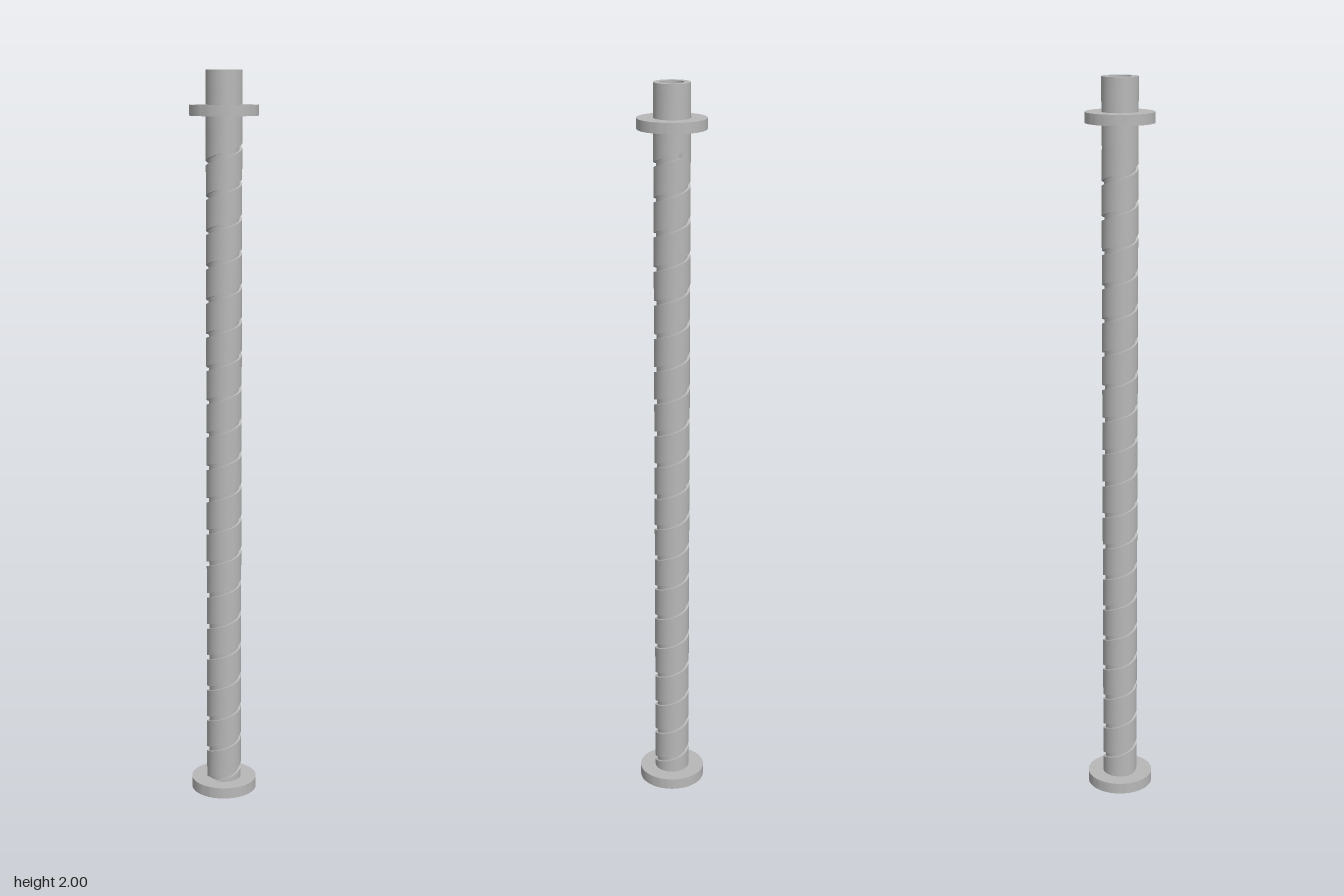
import * as THREE from 'three';
import { toCreasedNormals } from 'three/addons/utils/BufferGeometryUtils.js';

const HEIGHT = 2, OUTER = 0.048, BORE = 0.031, FLANGE = 0.091;
const PITCH = 0.0915, GROOVE_W = 0.014, GROOVE_D = 0.007;
const GROOVE_Y = 1.797;              // groove height at the front, on its last full turn
const GROOVE_END = Math.PI * 0.55;   // angle past the front where the groove stops
const SEG = 64;

// One helical strip swept between two profile points [depth, rise]
function helixStrip(p, q) {
  const pos = [], index = [];
  const first = -21 * SEG, last = 4 * SEG;
  for (let i = first; i <= last; i++) {
    const a = (i / SEG) * Math.PI * 2;
    for (const [depth, rise] of [p, q]) {
      const r = OUTER - (a > GROOVE_END ? 0 : depth);
      const y = GROOVE_Y + (PITCH * i) / SEG + rise;
      pos.push(r * Math.sin(a), THREE.MathUtils.clamp(y, 0.015, HEIGHT), r * Math.cos(a));
    }
    if (i < last) {
      const k = (i - first) * 2;
      index.push(k, k + 2, k + 3, k, k + 3, k + 1);
    }
  }
  const geo = new THREE.BufferGeometry();
  geo.setAttribute('position', new THREE.Float32BufferAttribute(pos, 3));
  geo.setIndex(index);
  geo.computeVertexNormals();
  return geo;
}

// Turned part with sharp edges
function turned(points) {
  const geo = new THREE.LatheGeometry(points.map(([r, y]) => new THREE.Vector2(r, y)), SEG);
  return toCreasedNormals(geo, 0.6);
}

export function createModel() {
  const group = new THREE.Group();
  const steel = new THREE.MeshStandardMaterial({ color: 0xb8b8b8 });
  steel.name = 'grey steel';
  const add = (name, geo, parent = group) => {
    const mesh = new THREE.Mesh(geo, steel);
    mesh.name = name;
    parent.add(mesh);
    return mesh;
  };

  // Shaft wall with its spiral groove
  const shaft = new THREE.Group();
  shaft.name = 'groovedShaft';
  group.add(shaft);
  const h = GROOVE_W / 2;
  const profile = [[0, -h], [GROOVE_D, -h], [GROOVE_D, h], [0, h], [0, PITCH - h]];
  ['grooveLowerWall', 'grooveFloor', 'grooveUpperWall', 'shaftSurface'].forEach((name, i) =>
    add(name, helixStrip(profile[i], profile[i + 1]), shaft));

  // Top rim and hollow bore
  add('rimAndBore', turned([[OUTER, HEIGHT], [BORE, HEIGHT], [BORE, 0]]));

  // End flanges
  const flange = (name, y0, y1, inner) =>
    add(name, turned([[inner, y0], [FLANGE, y0], [FLANGE, y1], [inner, y1]]));
  flange('bottomFlange', 0, 0.031, BORE);
  flange('topFlange', 1.883, 1.911, OUTER - 0.004);

  // Three small locking pins at the foot of the upper collar
  for (let i = 0; i < 3; i++) {
    const a = THREE.MathUtils.degToRad(47 + i * 120);
    const pin = add('lockingPin', new THREE.CylinderGeometry(0.004, 0.004, 0.004, 12));
    pin.position.set(Math.sin(a) * (OUTER - 0.001), 1.916, Math.cos(a) * (OUTER - 0.001));
    pin.rotation.set(Math.PI / 2, a, 0, 'YXZ');
  }
  return group;
}
